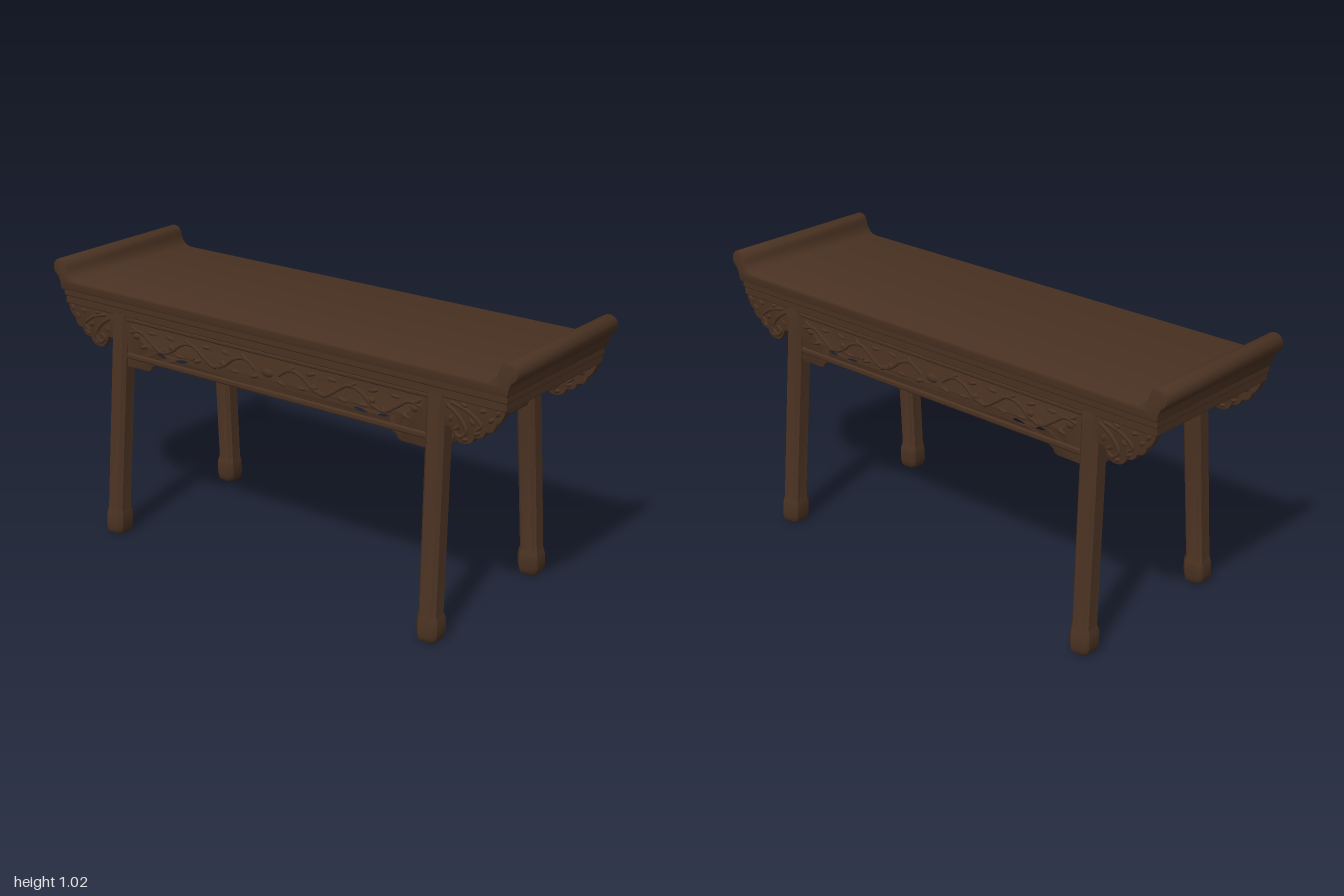
import * as THREE from 'three';
import { toCreasedNormals } from 'three/addons/utils/BufferGeometryUtils.js';
import { RoundedBoxGeometry } from 'three/addons/geometries/RoundedBoxGeometry.js';

const wood = new THREE.MeshStandardMaterial({ color: 0x4a3222 });
wood.name = 'darkWood';

const V = (x, y, z) => new THREE.Vector3(x, y, z);

function add(parent, name, geometry, x = 0, y = 0, z = 0) {
  const mesh = new THREE.Mesh(geometry, wood);
  mesh.name = name;
  mesh.position.set(x, y, z);
  parent.add(mesh);
  return mesh;
}

// Closed shape from a right-half outline, mirrored to the left
function mirroredShape(half) {
  const left = half.slice().reverse().map(([x, y]) => [-x, y]);
  return new THREE.Shape([...half, ...left].map(([x, y]) => new THREE.Vector2(x, y)));
}

// Extrusion centred on z = 0, with a small bevel inside the given depth
function slab(shape, depth, bevel) {
  const g = new THREE.ExtrudeGeometry(shape, {
    depth: depth - 2 * bevel, bevelEnabled: true, bevelSize: bevel,
    bevelOffset: -bevel, bevelThickness: bevel, bevelSegments: 2, curveSegments: 10,
  });
  g.translate(0, 0, -depth / 2 + bevel);
  return toCreasedNormals(g, 0.7);
}

// Loft of chamfered rectangles; rings are [y, centreX, centreZ, halfX, halfZ]
function loft(rings) {
  const c = 0.62, unit = [[1, c], [c, 1], [-c, 1], [-1, c], [-1, -c], [-c, -1], [c, -1], [1, -c]];
  const n = unit.length, pos = [], idx = [];
  for (const [y, cx, cz, hx, hz] of rings)
    for (const [u, v] of unit) pos.push(cx + u * hx, y, cz + v * hz);
  for (let r = 0; r < rings.length - 1; r++)
    for (let i = 0; i < n; i++) {
      const a = r * n + i, b = r * n + (i + 1) % n;
      idx.push(a, a + n, b, b, a + n, b + n);
    }
  const top = (rings.length - 1) * n;
  for (let i = 1; i < n - 1; i++) {
    idx.push(0, i, i + 1);
    idx.push(top, top + i + 1, top + i);
  }
  const g = new THREE.BufferGeometry();
  g.setAttribute('position', new THREE.Float32BufferAttribute(pos, 3));
  g.setIndex(idx);
  return toCreasedNormals(g, 0.6);
}

// Carved leaf: a flattened ellipsoid showing on both faces of a panel
const leafGeometry = new THREE.SphereGeometry(1, 10, 6);
function leaf(parent, x, y, length, width, angle, thick = 0.02) {
  const m = add(parent, 'carvedLeaf', leafGeometry, x, y, 0);
  m.scale.set(length, width, thick);
  m.rotation.z = angle;
}

function vine(parent, points, radius) {
  const curve = new THREE.CatmullRomCurve3(points.map(([x, y]) => V(x, y, 0)));
  for (const z of [-0.012, 0.012])
    add(parent, 'carvedVine', new THREE.TubeGeometry(curve, points.length * 5, radius, 6), 0, 0, z);
}

// Long carved apron between a pair of legs
function makeApron() {
  const apron = new THREE.Group();
  apron.name = 'apron';
  const shape = mirroredShape([[0.67, 0.66], [0.67, 0.86]].reverse().concat(
    [[0.56, 0.66], [0.545, 0.667], [0.54, 0.68], [0.52, 0.689]]));
  for (const s of [-1, 1])
    for (const [x, y, rx, ry, a] of [[0.49, 0.735, 0.03, 0.008, 0.2], [0.395, 0.732, 0.032, 0.009, -0.15],
      [0.33, 0.75, 0.014, 0.007, 0.5], [0.57, 0.755, 0.012, 0.008, 0.6]]) {
      const hole = new THREE.Path();
      hole.absellipse(s * x, y, rx, ry, 0, Math.PI * 2, true, s * a);
      shape.holes.push(hole);
    }
  add(apron, 'apronPanel', slab(shape, 0.024, 0.003));
  add(apron, 'apronLowerRail', new RoundedBoxGeometry(1.32, 0.024, 0.036, 2, 0.008), 0, 0.703);
  add(apron, 'apronUpperRail', new RoundedBoxGeometry(1.32, 0.02, 0.036, 2, 0.008), 0, 0.842);
  // Scrolling foliage, mirrored about the middle
  for (const s of [-1, 1]) {
    const stem = [];
    for (let i = 0; i <= 12; i++) stem.push([s * (0.05 + i * 0.049), 0.777 + 0.03 * Math.sin(i * 1.25)]);
    vine(apron, stem, 0.007);
    for (let i = 0; i < 14; i++) {
      const x = 0.06 + i * 0.043, up = i % 2 ? 1 : -1;
      leaf(apron, s * x, 0.78 + up * 0.03, 0.03, 0.01, s * up * (0.3 + 0.4 * Math.sin(i * 2.1)), 0.019);
    }
    for (const [x, y] of [[0.44, 0.775], [0.2, 0.765], [0.61, 0.785]])
      leaf(apron, s * x, y, 0.02, 0.017, 0, 0.02);
  }
  leaf(apron, 0, 0.775, 0.035, 0.022, 0);
  return apron;
}

// Scalloped carved bracket outside each leg, drawn for the +x end
function makeBracket() {
  const bracket = new THREE.Group();
  bracket.name = 'endBracket';
  const outline = new THREE.Shape();
  outline.moveTo(0.71, 0.86);
  outline.lineTo(0.71, 0.755);
  outline.lineTo(0.75, 0.755);
  outline.quadraticCurveTo(0.765, 0.705, 0.8, 0.708);
  outline.quadraticCurveTo(0.835, 0.71, 0.84, 0.738);
  outline.quadraticCurveTo(0.875, 0.735, 0.88, 0.765);
  outline.quadraticCurveTo(0.915, 0.765, 0.917, 0.797);
  outline.quadraticCurveTo(0.945, 0.81, 0.953, 0.86);
  add(bracket, 'bracketPanel', slab(outline, 0.026, 0.004));
  vine(bracket, [[0.735, 0.83], [0.78, 0.8], [0.81, 0.755], [0.785, 0.73], [0.765, 0.75], [0.785, 0.765]], 0.008);
  vine(bracket, [[0.75, 0.84], [0.82, 0.82], [0.865, 0.785], [0.845, 0.765]], 0.007);
  for (const [x, y, a] of [[0.9, 0.81, 0.7], [0.87, 0.835, 0.2], [0.925, 0.838, 0.9], [0.8, 0.84, -0.2],
    [0.805, 0.725, 0.2], [0.85, 0.755, 0.6], [0.75, 0.785, 1.2], [0.83, 0.79, -0.8]])
    leaf(bracket, x, y, 0.02, 0.011, a);
  return bracket;
}

export function createModel() {
  const table = new THREE.Group();
  table.name = 'altarTable';

  // Tabletop with rolled, upturned ends
  const top = [[0.96, 0.903], [0.967, 0.91], [0.969, 0.93], [0.978, 0.95], [0.993, 0.962]];
  for (let i = 0; i <= 8; i++) {
    const a = -0.35 + i * (Math.PI + 0.35) / 8;
    top.push([0.966 + 0.034 * Math.cos(a), 0.985 + 0.034 * Math.sin(a)]);
  }
  top.push([0.926, 0.968], [0.915, 0.954], [0.9, 0.946], [0.88, 0.943]);
  add(table, 'tabletop', slab(mirroredShape(top), 0.636, 0.006));

  // Moulded frame under the top
  add(table, 'upperFrame', new RoundedBoxGeometry(1.92, 0.03, 0.616, 2, 0.006), 0, 0.893);
  add(table, 'lowerFrame', new RoundedBoxGeometry(1.912, 0.046, 0.608, 2, 0.005), 0, 0.872);

  for (const sz of [-1, 1]) {
    const apron = makeApron();
    apron.position.z = sz * 0.284;
    table.add(apron);

    for (const sx of [-1, 1]) {
      // Splayed legs with swelling feet
      const rings = [[0, 0.711, 0.322, 0.03, 0.034], [0.008, 0.711, 0.322, 0.037, 0.04],
        [0.03, 0.711, 0.321, 0.041, 0.043], [0.075, 0.71, 0.319, 0.041, 0.042],
        [0.088, 0.709, 0.319, 0.038, 0.039], [0.1, 0.709, 0.32, 0.035, 0.036],
        [0.76, 0.692, 0.275, 0.036, 0.036], [0.82, 0.69, 0.271, 0.037, 0.036],
        [0.87, 0.69, 0.268, 0.045, 0.035]];
      add(table, 'leg', loft(rings.map(([y, x, z, hx, hz]) => [y, sx * x, sz * z, hx, hz])));

      // Half-turn keeps the bracket's faces outward on the other end
      const bracket = makeBracket();
      bracket.rotation.y = sx > 0 ? 0 : Math.PI;
      bracket.position.z = sz * 0.286;
      table.add(bracket);
    }
  }

  // Stretcher joining each end pair of legs
  for (const sx of [-1, 1])
    add(table, 'endStretcher', new RoundedBoxGeometry(0.034, 0.038, 0.53, 3, 0.012), sx * 0.695, 0.675);

  return table;
}
